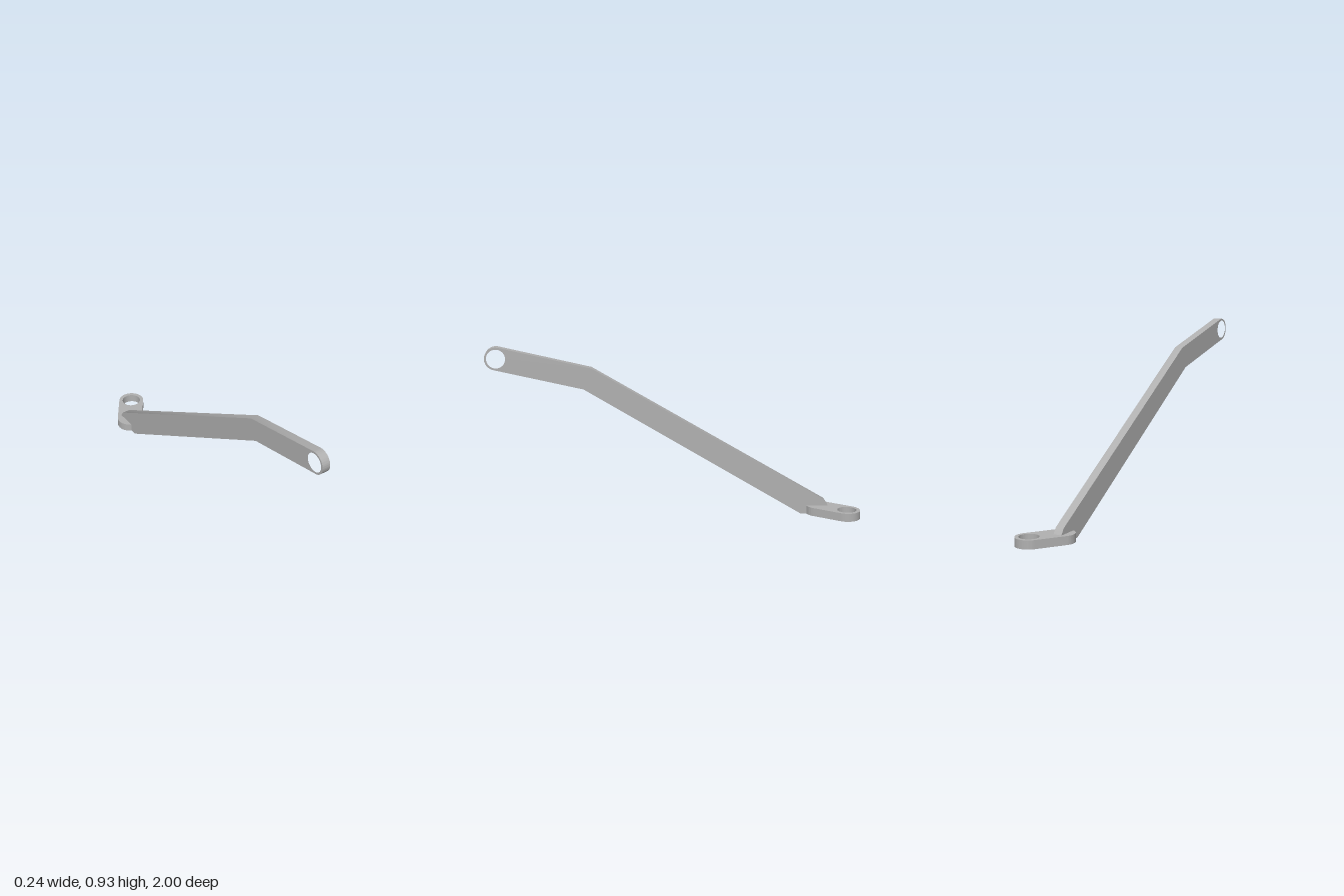
import * as THREE from 'three';
import { toCreasedNormals } from 'three/addons/utils/BufferGeometryUtils.js';

const steel = new THREE.MeshStandardMaterial({ color: 0xb0b0b0 });
steel.name = 'grey steel';

// Extrude a flat outline, keeping rims sharp and round walls smooth
function plate(shape, depth) {
  const geometry = new THREE.ExtrudeGeometry(shape, { depth, bevelEnabled: false, curveSegments: 32 });
  return toCreasedNormals(geometry, 0.5);
}

function addHole(shape, x, y, radius) {
  shape.holes.push(new THREE.Path().absarc(x, y, radius, 0, Math.PI * 2, true));
}

// Bent arm, outlined in (z, y), with a round eye at its upper end
function createArm() {
  const eye = { z: 0.939, y: 0.869, r: 0.061 };
  const tilt = THREE.MathUtils.degToRad(103);
  const shape = new THREE.Shape();
  shape.moveTo(-0.69, 0);
  shape.lineTo(-0.72, 0);
  shape.lineTo(-0.84, 0.04);
  shape.lineTo(-0.818, 0.075);
  shape.lineTo(0.437, 0.815);
  shape.absarc(eye.z, eye.y, eye.r, tilt, tilt - Math.PI, true);
  shape.lineTo(0.48, 0.702);
  shape.closePath();
  addHole(shape, eye.z, eye.y, 0.05);
  const geometry = plate(shape, 0.045);
  geometry.rotateY(-Math.PI / 2).translate(-0.034, 0, 0);
  const arm = new THREE.Mesh(geometry, steel);
  arm.name = 'bentArm';
  return arm;
}

// Flat foot with rounded ends and a bolt hole, outlined in (x, -z)
function createFoot() {
  const r = 0.071;
  const a = new THREE.Vector2(-0.049, 0.791);
  const b = new THREE.Vector2(0.047, 0.929);
  const angle = b.clone().sub(a).angle();
  const shape = new THREE.Shape();
  shape.absarc(b.x, b.y, r, angle - Math.PI / 2, angle + Math.PI / 2, false);
  shape.absarc(a.x, a.y, r, angle + Math.PI / 2, angle + Math.PI * 1.5, false);
  shape.closePath();
  addHole(shape, b.x, b.y, 0.051);
  const foot = new THREE.Mesh(plate(shape, 0.045).rotateX(-Math.PI / 2), steel);
  foot.name = 'mountingFoot';
  return foot;
}

export function createModel() {
  const model = new THREE.Group();
  model.name = 'bracketArm';
  model.add(createArm(), createFoot());
  return model;
}
